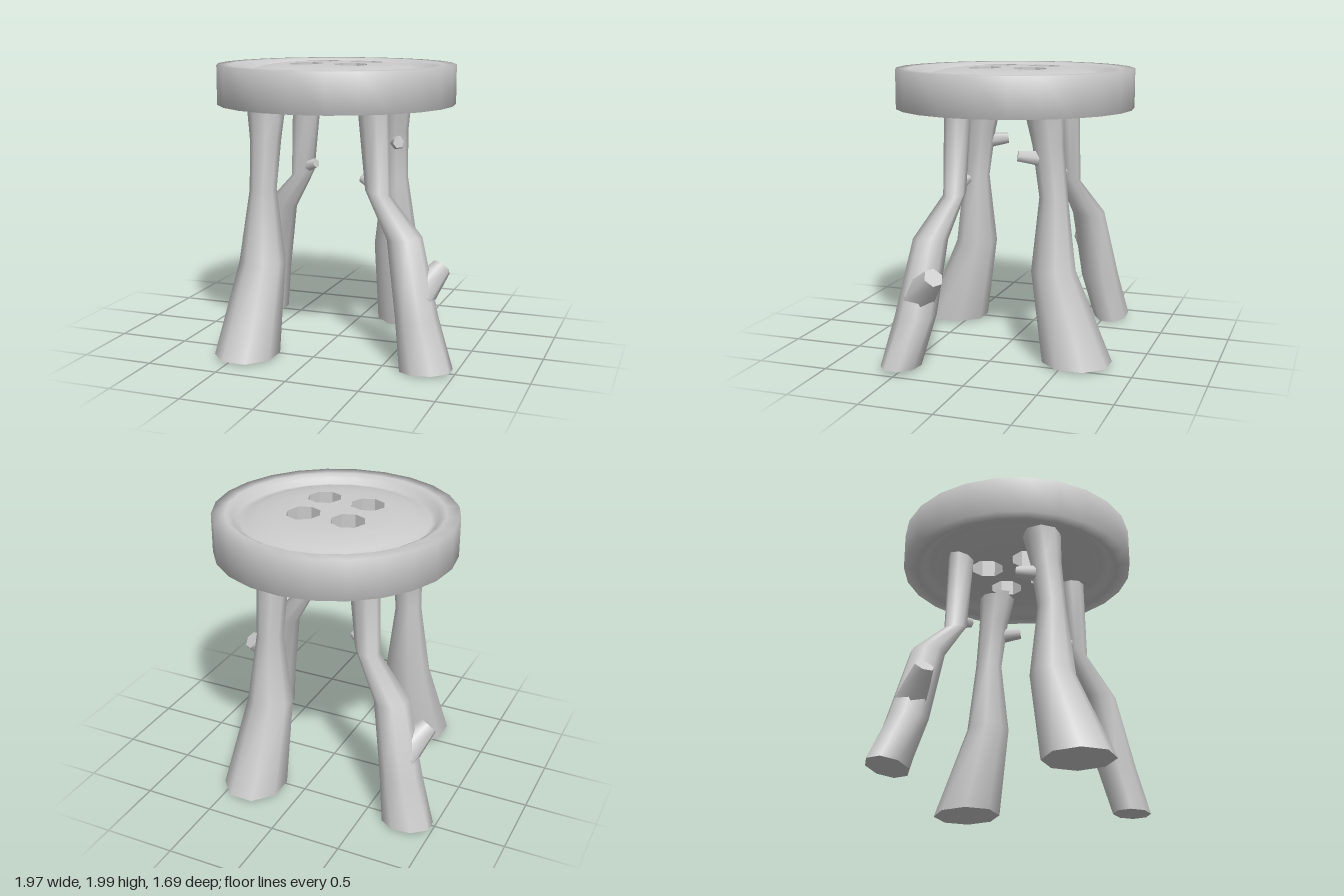
import * as THREE from 'three';

const CX = -0.017, CZ = -0.01, MID = 1.853; // seat centre
const grey = new THREE.MeshStandardMaterial({ color: 0xcccccc, side: THREE.DoubleSide });

function mesh(name, geometry) {
  const m = new THREE.Mesh(geometry, grey);
  m.name = name;
  return m;
}

// Closed limb through rings of [x, y, z, radiusX, radiusZ, tilt], listed from bottom to top
function loft(rings, sides = 8) {
  const pos = [], index = [];
  const point = ([x, y, z, rx, rz, tilt = 0], i) => {
    const a = ((i + 0.5) / sides) * Math.PI * 2, k = 1 / Math.cos(Math.PI / sides);
    return [x + Math.cos(a) * rx * k, y + Math.cos(a) * tilt, z - Math.sin(a) * rz * k];
  };
  rings.forEach((r, j) => {
    for (let i = 0; i < sides; i++) {
      pos.push(...point(r, i));
      if (j === rings.length - 1) continue;
      const a = j * sides + i, b = j * sides + (i + 1) % sides;
      index.push(a, b, b + sides, a, b + sides, a + sides);
    }
  });
  // End caps with their own vertices, so the ends stay crisp
  for (const [r, top] of [[rings[0], false], [rings[rings.length - 1], true]]) {
    const start = pos.length / 3;
    for (let i = 0; i < sides; i++) pos.push(...point(r, i));
    for (let i = 1; i < sides - 1; i++) {
      index.push(start, start + (top ? i : i + 1), start + (top ? i + 1 : i));
    }
  }
  const g = new THREE.BufferGeometry();
  g.setAttribute('position', new THREE.Float32BufferAttribute(pos, 3));
  g.setIndex(index);
  g.computeVertexNormals();
  return g;
}

// Cut-off twig between two points
function twig(from, to, r0, r1) {
  const a = new THREE.Vector3(...from), b = new THREE.Vector3(...to);
  const dir = b.clone().sub(a);
  const m = mesh('twigStub', new THREE.CylinderGeometry(r1, r0, dir.length(), 6));
  m.position.copy(a).add(b).multiplyScalar(0.5);
  m.quaternion.setFromUnitVectors(new THREE.Vector3(0, 1, 0), dir.normalize());
  return m;
}

// Button seat: domed plate, groove and thick rim, the same above and below
function buildSeat() {
  const seat = new THREE.Group();
  seat.name = 'buttonSeat';
  const plateR = 0.42;
  const dome = (r) => 0.147 - 0.35 * r ** 4; // half thickness of the plate

  const upper = [
    [plateR, dome(plateR)], [0.52, dome(0.52)], [0.6, 0.098], [0.645, 0.075],
    [0.675, 0.08], [0.7, 0.115], [0.745, 0.137], [0.838, 0.137],
  ];
  const lower = upper.map(([r, y]) => [r, -y]);
  const profile = [...lower, ...upper.reverse()].map(([r, y]) => new THREE.Vector2(r, y));
  seat.add(mesh('rim', new THREE.LatheGeometry(profile, 24)));

  // Middle of the plate with four octagonal thread holes
  const ring = (cx, cy, r, n) => Array.from({ length: n }, (_, i) => {
    const a = (i / n) * Math.PI * 2;
    return new THREE.Vector2(cx + Math.cos(a) * r, cy + Math.sin(a) * r);
  });
  const shape = new THREE.Shape(ring(0, 0, plateR, 24));
  for (const x of [-0.163, 0.163]) {
    for (const y of [-0.163, 0.163]) shape.holes.push(new THREE.Path(ring(x, y, 0.12, 8)));
  }
  const plate = new THREE.ExtrudeGeometry(shape, { depth: 1, bevelEnabled: false });
  plate.translate(0, 0, -0.5);
  plate.rotateX(-Math.PI / 2);
  const p = plate.attributes.position, n = plate.attributes.normal;
  const v = new THREE.Vector3();
  for (let i = 0; i < p.count; i++) {
    const x = p.getX(i), z = p.getZ(i), r = Math.hypot(x, z), s = Math.sign(p.getY(i));
    p.setY(i, s * dome(r));
    if (Math.abs(n.getY(i)) > 0.9) {
      v.set(1.4 * r * r * x, s, 1.4 * r * r * z).normalize();
      n.setXYZ(i, v.x, v.y, v.z);
    }
  }
  seat.add(mesh('plate', plate));
  seat.position.set(CX, MID, CZ);
  return seat;
}

// Crooked branch leg with a bend and a large twig stub
function bentLeg(name) {
  const leg = new THREE.Group();
  leg.name = name;
  leg.add(mesh('branch', loft([
    [0.81, 0.02, 0.525, 0.17, 0.12, 0.015],
    [0.72, 0.36, 0.45, 0.135, 0.13],
    [0.61, 0.87, 0.38, 0.11, 0.11, 0.01],
    [0.39, 1.15, 0.29, 0.08, 0.072, -0.02],
    [0.35, 1.74, 0.28, 0.1, 0.08],
  ])));
  leg.add(twig([0.72, 0.49, 0.43], [0.84, 0.665, 0.265], 0.12, 0.07));
  leg.add(twig([0.38, 1.2, 0.28], [0.265, 1.235, 0.24], 0.055, 0.035));
  return leg;
}

// Straighter leg with a broad foot and a flared top
function flaredLeg(name) {
  const leg = new THREE.Group();
  leg.name = name;
  leg.add(mesh('branch', loft([
    [-0.445, 0.02, 0.615, 0.205, 0.225],
    [-0.405, 0.64, 0.43, 0.15, 0.14],
    [-0.395, 1.15, 0.425, 0.085, 0.09],
    [-0.39, 1.5, 0.385, 0.1, 0.1],
    [-0.395, 1.74, 0.355, 0.125, 0.125],
  ])));
  leg.add(twig([-0.42, 1.41, 0.37], [-0.485, 1.43, 0.2], 0.06, 0.04));
  return leg;
}

export function createModel() {
  const model = new THREE.Group();
  model.name = 'buttonStool';
  model.add(buildSeat());

  // Each front leg has a twin turned half way round on the opposite side
  const backRight = bentLeg('backRightLeg');
  backRight.rotation.y = Math.PI;
  backRight.position.set(-0.005, 0, -0.02);
  const backLeft = flaredLeg('backLeftLeg');
  backLeft.rotation.y = Math.PI;
  backLeft.position.set(-0.09, 0, 0.03);
  model.add(bentLeg('frontLeftLeg'), flaredLeg('frontRightLeg'), backRight, backLeft);
  return model;
}
